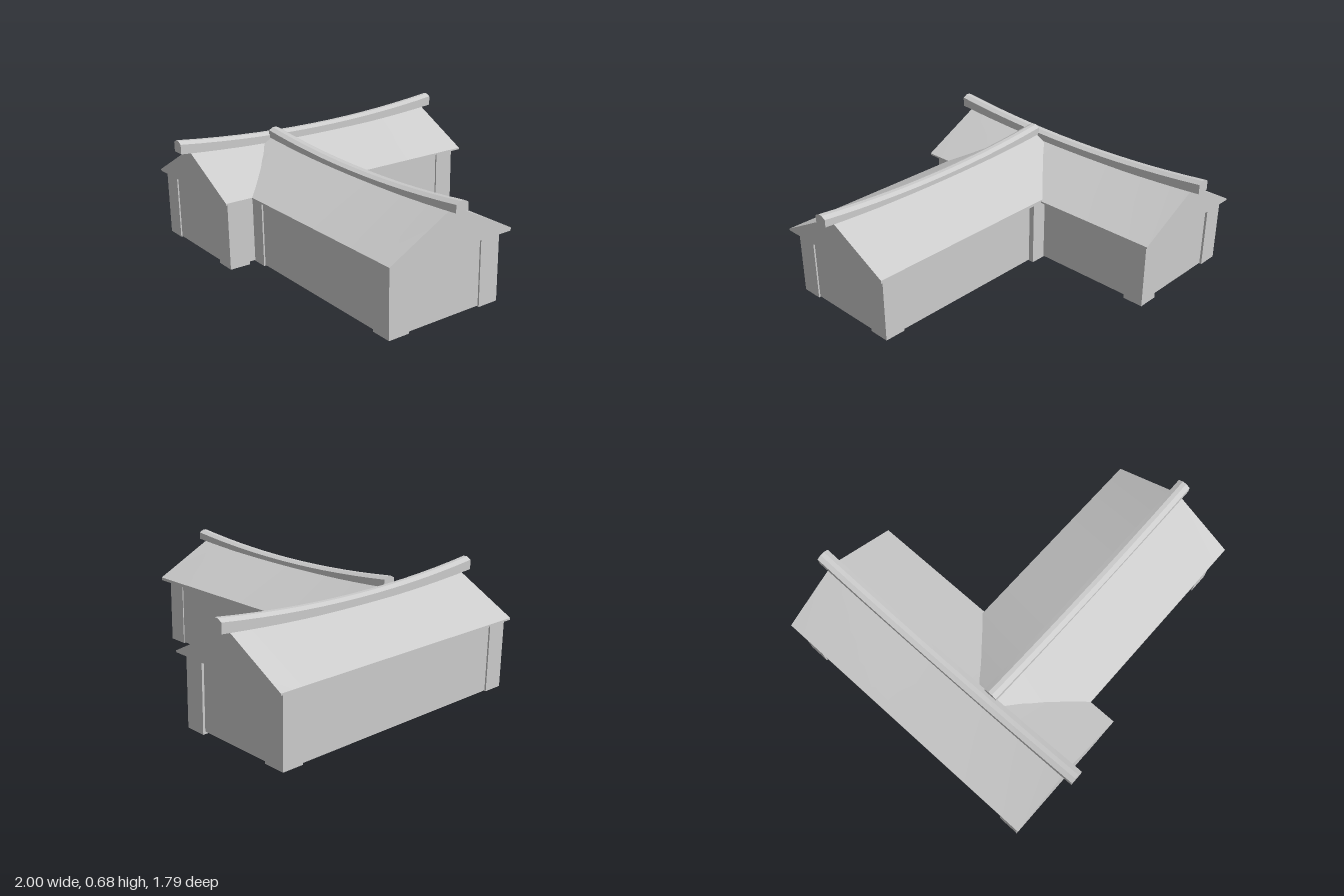
import * as THREE from 'three';
import { toCreasedNormals } from 'three/addons/utils/BufferGeometryUtils.js';

const material = new THREE.MeshStandardMaterial({ color: 0xcccccc });
const SEGMENTS = 14;

// Lofts a convex section [[u, y], ...] (counterclockwise) along z, or along x.
function loft(name, from, to, alongX, section) {
  const rings = [];
  for (let i = 0; i <= SEGMENTS; i++) {
    const s = from + (to - from) * i / SEGMENTS;
    rings.push(section(s).map(([u, y]) => (alongX ? [s, y, u] : [u, y, s])));
  }
  const pos = [];
  const tri = (a, b, c) => pos.push(...a, ...(alongX ? [...c, ...b] : [...b, ...c]));
  const n = rings[0].length;
  for (let i = 0; i < SEGMENTS; i++) {
    for (let k = 0; k < n; k++) {
      const a = rings[i][k], b = rings[i][(k + 1) % n];
      const c = rings[i + 1][(k + 1) % n], d = rings[i + 1][k];
      tri(a, b, c);
      tri(a, c, d);
    }
  }
  const first = rings[0], last = rings[SEGMENTS];
  for (let k = 1; k < n - 1; k++) {
    tri(first[0], first[k + 1], first[k]);
    tri(last[0], last[k], last[k + 1]);
  }
  const geometry = new THREE.BufferGeometry();
  geometry.setAttribute('position', new THREE.Float32BufferAttribute(pos, 3));
  const mesh = new THREE.Mesh(toCreasedNormals(geometry, 0.3), material);
  mesh.name = name;
  return mesh;
}

function box(name, x0, x1, y0, y1, z0, z1) {
  const mesh = new THREE.Mesh(new THREE.BoxGeometry(x1 - x0, y1 - y0, z1 - z0), material);
  mesh.position.set((x0 + x1) / 2, (y0 + y1) / 2, (z0 + z1) / 2);
  mesh.name = name;
  return mesh;
}

// Roof section with its flat underside and thin eave edges
const roofSection = (lo, hi, ridge, top, loEave = 0.405) => [
  [lo, 0.395], [hi, 0.395], [hi, 0.405], [ridge, top], [lo, loEave],
];

// Ridge beam section with a shallow peaked top
const beamSection = (mid, bottom, side, peak) => [
  [mid - 0.038, bottom], [mid + 0.038, bottom], [mid + 0.038, side],
  [mid + 0.012, peak], [mid - 0.012, peak], [mid - 0.038, side],
];

export function createModel() {
  const model = new THREE.Group();
  const sagA = (z) => (z / 0.9) ** 2;
  const sagB = (x) => ((x - 0.2) / 0.8) ** 2;

  // Walls of the two wings
  model.add(box('mainWingWalls', -0.972, -0.285, 0.015, 0.4, -0.798, 0.795));
  model.add(box('sideWingWalls', -0.6, 0.897, 0.015, 0.4, -0.052, 0.632));

  // Corner posts: x, z of the centre and foot height
  const posts = [
    [-0.92, 0.742, 0.012], [-0.336, 0.742, 0.003],
    [-0.92, -0.75, 0.012], [-0.336, -0.75, 0],
    [0.845, 0.58, 0.01], [0.845, 0.003, 0.01],
    [-0.253, 0.58, 0.01], [-0.253, -0.023, 0.01],
  ];
  for (const [x, z, y] of posts) {
    model.add(box('cornerPost', x - 0.061, x + 0.061, y, 0.4, z - 0.061, z + 0.061));
  }

  // Gabled roofs with sagging ridges
  model.add(loft('mainRoof', -0.842, 0.832, false,
    (z) => roofSection(-1, -0.235, -0.63, 0.585 + 0.03 * sagA(z))));
  model.add(loft('sideRoof', -0.59, 0.945, true,
    (x) => roofSection(-0.098, 0.672, 0.288, 0.59 + 0.025 * sagB(x), 0.412)));

  // Curved ridge beams
  model.add(loft('mainRidgeBeam', -0.9, 0.895, false, (z) => {
    const q = sagA(z);
    return beamSection(-0.63, 0.565 + 0.04 * q, 0.607 + 0.053 * q, 0.62 + 0.055 * q);
  }));
  model.add(loft('sideRidgeBeam', -0.6, 1, true, (x) => {
    const q = sagB(x);
    return beamSection(0.288, 0.57 + 0.03 * q, 0.598 + 0.044 * q, 0.609 + 0.047 * q);
  }));

  return model;
}
